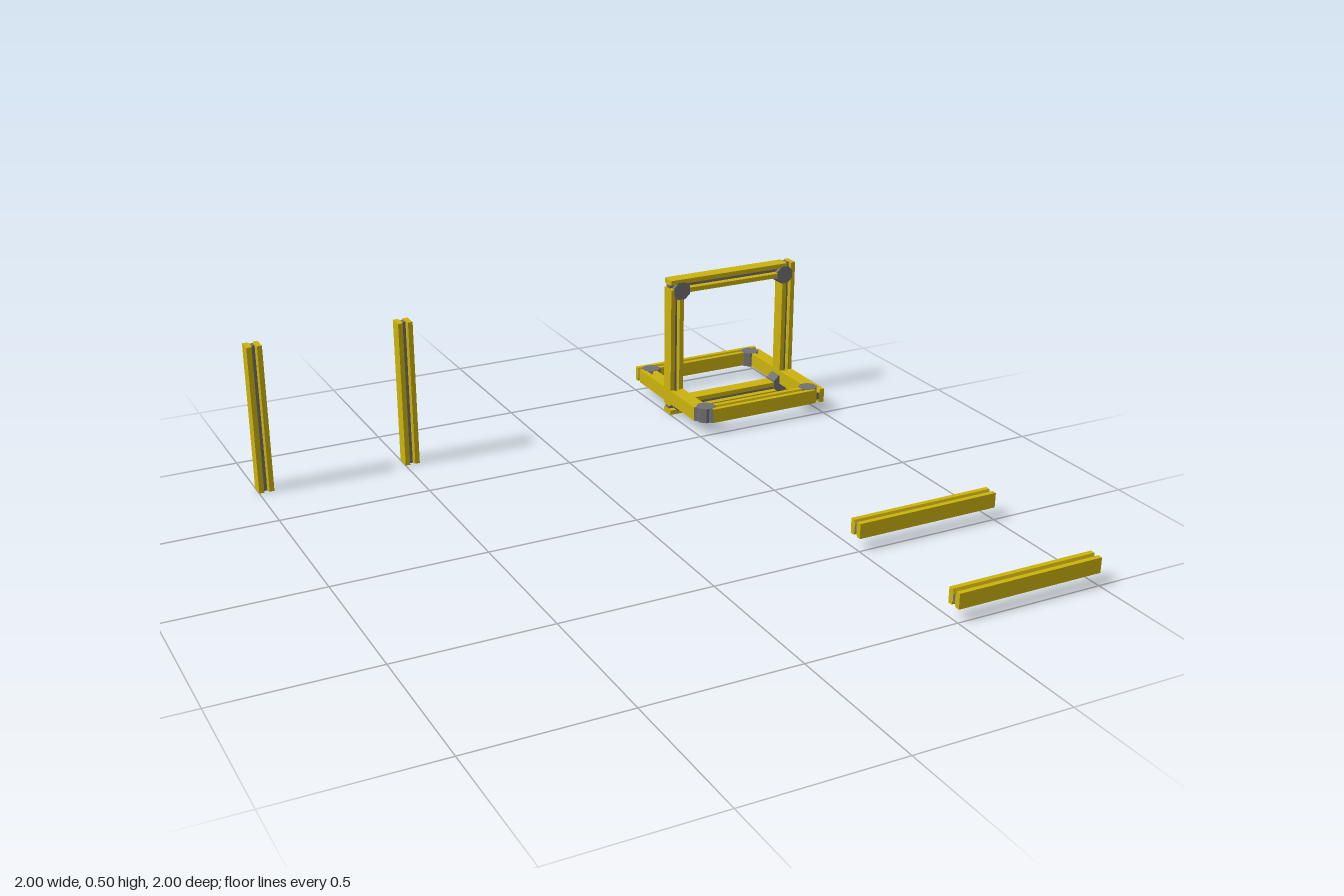
import * as THREE from 'three';

const S = 0.05, H = S / 2;              // bar width and half width
const yellow = new THREE.MeshStandardMaterial({ color: 0xccb30d });
const grey = new THREE.MeshStandardMaterial({ color: 0x707074 });

function polygon(points) {
  return new THREE.Shape(points.map(([x, y]) => new THREE.Vector2(x, y)));
}

function prism(shape, depth) {
  const g = new THREE.ExtrudeGeometry(shape, { depth, bevelEnabled: false });
  return g.translate(0, 0, -depth / 2);
}

// Half of the slotted section; the groove mouth narrows towards the web
const flange = side => polygon([
  [side * H, -H], [side * H, H], [side * 0.009, H],
  [side * 0.005, 0.012], [side * 0.005, -0.012], [side * 0.009, -H],
]);

// Slotted bar: "across" and "normal" span the section, grooves open along +-normal
function bar(name, centre, across, normal, length) {
  const group = new THREE.Group();
  group.name = name;
  for (const side of [-1, 1]) {
    const rail = new THREE.Mesh(prism(flange(side), length), yellow);
    rail.name = 'rail';
    group.add(rail);
  }
  const web = new THREE.Mesh(new THREE.BoxGeometry(0.01, 0.024, length), grey);
  web.name = 'web';
  group.add(web);
  const a = new THREE.Vector3(...across), n = new THREE.Vector3(...normal);
  const basis = new THREE.Matrix4().makeBasis(a, n, a.clone().cross(n));
  group.quaternion.setFromRotationMatrix(basis);
  group.position.set(...centre);
  return group;
}

// Octagonal corner connector lying in the frame plane
function connector(x, y) {
  const r = 0.031, c = 0.013;
  const m = new THREE.Mesh(prism(polygon([
    [r, -c], [r, c], [c, r], [-c, r], [-r, c], [-r, -c], [-c, -r], [c, -r],
  ]), S + 0.002), grey);
  m.name = 'cornerConnector';
  m.position.set(x, y, 0);
  return m;
}

// Square frame in the XY plane, 0.5 wide, centred on its own origin
function frame(name, openCorner) {
  const g = new THREE.Group();
  g.name = name;
  const X = [1, 0, 0], Y = [0, 1, 0], Z = [0, 0, 1], e = 0.25 - H;
  const cut = openCorner ? S : 0;
  g.add(bar('lowerBar', [0, -e, 0], Y, Z, 0.5));
  g.add(bar('rightBar', [e, H, 0], X, Z, 0.45));
  g.add(bar('upperBar', [-H + cut / 2, e, 0], Y, Z, 0.45 - cut));
  g.add(bar('leftBar', [-e, 0, 0], X, Z, 0.4));
  for (const x of [-0.208, 0.208])
    for (const y of [-0.208, 0.208]) g.add(connector(x, y));
  if (openCorner) {
    // Bevelled filler closing the open corner
    const filler = new THREE.Mesh(
      prism(polygon([[-0.25, 0.2], [-0.2, 0.2], [-0.2, 0.25]]), S), grey);
    filler.name = 'bevelledCorner';
    g.add(filler);
  }
  return g;
}

export function createModel() {
  const model = new THREE.Group();
  model.name = 'slottedBarKit';

  // Upright frame
  const upright = frame('uprightFrame', false);
  upright.position.set(0.75, 0.25, -0.75);
  model.add(upright);

  // Flat frame crossing it: local +y turned to +z
  const flat = frame('flatFrame', true);
  flat.rotation.x = Math.PI / 2;
  flat.position.set(0.75, 0.067, -0.75);
  model.add(flat);

  // Loose upright bars
  for (const x of [-0.975, -0.475])
    model.add(bar('loosePost', [x, 0.25, -0.75], [1, 0, 0], [0, 0, 1], 0.5));

  // Loose lying bars
  for (const z of [0.475, 0.975])
    model.add(bar('looseBeam', [0.75, 0.067, z], [0, 0, 1], [0, 1, 0], 0.5));

  return model;
}
